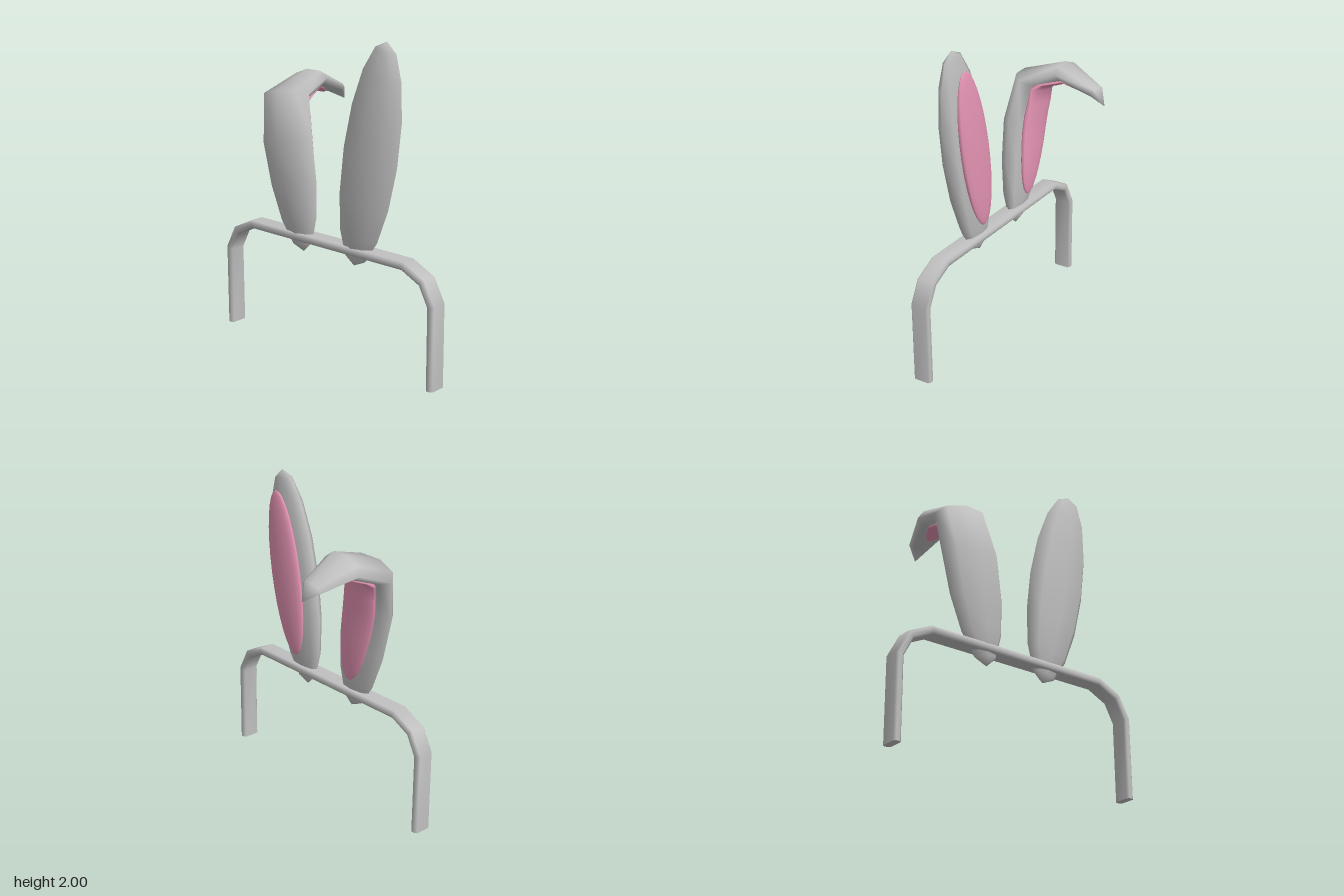
import * as THREE from 'three';
import { mergeVertices } from 'three/addons/utils/BufferGeometryUtils.js';

const AXIS_X = -0.228, EAR_Y = 1.308, EAR_Z = 0.337, TILT = 0.18;

// Spine of the folded ear: [height along ear, x, y, normal x, normal y], relative to the ear centre
const SPINE = [
  [-0.71, 0, -0.71, 1, 0],
  [0, 0, 0, 1, 0],
  [0.27, 0.04, 0.272, 0.87, -0.5],
  [0.497, 0.263, 0.345, 0.25, -0.95],
  [0.65, 0.48, 0.26, -0.4, -0.85],
  [0.703, 0.548, 0.185, -0.6, -0.8],
];

function fold(p) {
  let i = 0;
  while (i < SPINE.length - 2 && p.y > SPINE[i + 1][0]) i++;
  const a = SPINE[i], b = SPINE[i + 1];
  const t = (p.y - a[0]) / (b[0] - a[0]);
  const [, x, y, nx, ny] = a.map((v, k) => v + (b[k] - v) * t);
  p.set(x + nx * p.x, y + ny * p.x, p.z);
}

// Squashed sphere whose vertices are moved by a rule, with smooth normals
function blob(segments, rings, rule) {
  let geo = new THREE.SphereGeometry(1, segments, rings);
  geo.deleteAttribute('uv');
  geo.deleteAttribute('normal');
  geo = mergeVertices(geo, 1e-4);
  const pos = geo.attributes.position, p = new THREE.Vector3();
  for (let i = 0; i < pos.count; i++) {
    p.fromBufferAttribute(pos, i);
    rule(p);
    pos.setXYZ(i, p.x, p.y, p.z);
  }
  geo.computeVertexNormals();
  return geo;
}

function makeEar(name, side, folded, grey, pink) {
  const ear = new THREE.Group();
  ear.name = name;
  const shell = new THREE.Mesh(blob(8, 8, (p) => {
    // the front half is flatter than the back
    const front = folded ? 0.65 + 0.15 * THREE.MathUtils.clamp(p.y / 0.38, 0, 1) : 0.65;
    p.set(p.x * (p.x > 0 ? 0.1 * front : 0.1), p.y * 0.703, p.z * 0.21);
    if (folded) fold(p);
  }), grey);
  shell.name = name + 'Shell';
  const inner = new THREE.Mesh(blob(16, 16, (p) => {
    p.set(p.x * 0.035 + 0.07, p.y * 0.536 + 0.045, p.z * 0.137);
    if (folded) {
      p.x *= 1 - 0.25 * THREE.MathUtils.clamp((p.y - 0.2) / 0.3, 0, 1);
      fold(p);
    }
  }), pink);
  inner.name = name + 'Inner';
  ear.add(shell, inner);
  ear.position.set(AXIS_X, EAR_Y, EAR_Z * side);
  ear.rotation.x = TILT * side;
  return ear;
}

// Flat bevelled strip swept along an arch in the y-z plane
function bandGeometry() {
  const half = [[0.845, 0], [0.845, 0.515], [0.775, 0.648], [0.63, 0.718]];
  const path = [...half, ...half.map(([z, y]) => [-z, y]).reverse()]
    .map(([z, y]) => new THREE.Vector2(z, y));
  const section = [[0.06, -0.012], [0.06, 0.012], [0.048, 0.025], [-0.048, 0.025],
    [-0.06, 0.012], [-0.06, -0.012], [-0.048, -0.025], [0.048, -0.025]];
  const n = section.length, pos = [], idx = [];
  const dir = (i) => path[i + 1].clone().sub(path[i]).normalize();
  path.forEach((c, i) => {
    const d0 = dir(Math.max(i - 1, 0)), d1 = dir(Math.min(i, path.length - 2));
    const n0 = new THREE.Vector2(d0.y, -d0.x), n1 = new THREE.Vector2(d1.y, -d1.x);
    const m = n0.clone().add(n1).normalize();
    m.divideScalar(m.dot(n0));
    for (const [x, o] of section) pos.push(AXIS_X + x, c.y + m.y * o, c.x + m.x * o);
  });
  for (let i = 0; i < path.length - 1; i++) {
    for (let j = 0; j < n; j++) {
      const a = i * n + j, b = i * n + (j + 1) % n;
      idx.push(a, b, a + n, b, b + n, a + n);
    }
  }
  // end caps with their own vertices
  for (const ring of [0, path.length - 1]) {
    const start = pos.length / 3;
    for (let k = 0; k < n * 3; k++) pos.push(pos[ring * n * 3 + k]);
    for (let j = 1; j < n - 1; j++) {
      idx.push(start, start + j, start + j + 1);
    }
  }
  const geo = new THREE.BufferGeometry();
  geo.setAttribute('position', new THREE.Float32BufferAttribute(pos, 3));
  // turn every triangle outward from the strip's centre line
  const v = (k) => new THREE.Vector3().fromArray(pos, k * 3);
  for (let t = 0; t < idx.length; t += 3) {
    const [a, b, c] = [v(idx[t]), v(idx[t + 1]), v(idx[t + 2])];
    const normal = b.clone().sub(a).cross(c.clone().sub(a));
    const ring = Math.floor(idx[t] / n);
    let out;
    if (ring >= path.length) out = new THREE.Vector3(0, -1, 0);
    else {
      const p = path[ring], q = path[Math.min(ring + 1, path.length - 1)];
      const along = new THREE.Vector3(0, q.y - p.y, q.x - p.x).normalize();
      out = a.clone().add(b).add(c).divideScalar(3).sub(new THREE.Vector3(AXIS_X, p.y, p.x));
      out.addScaledVector(along, -out.dot(along));
    }
    if (normal.dot(out) < 0) [idx[t + 1], idx[t + 2]] = [idx[t + 2], idx[t + 1]];
  }
  geo.setIndex(idx);
  geo.computeVertexNormals();
  return geo;
}

export function createModel() {
  const grey = new THREE.MeshStandardMaterial({ color: 0xc0c0c0 });
  grey.name = 'lightGrey';
  const pink = new THREE.MeshStandardMaterial({ color: 0xe896b6 });
  pink.name = 'pink';

  const model = new THREE.Group();
  model.name = 'earHeadband';
  const band = new THREE.Mesh(bandGeometry(), grey);
  band.name = 'band';
  model.add(band,
    makeEar('uprightEar', 1, false, grey, pink),
    makeEar('foldedEar', -1, true, grey, pink));
  return model;
}
